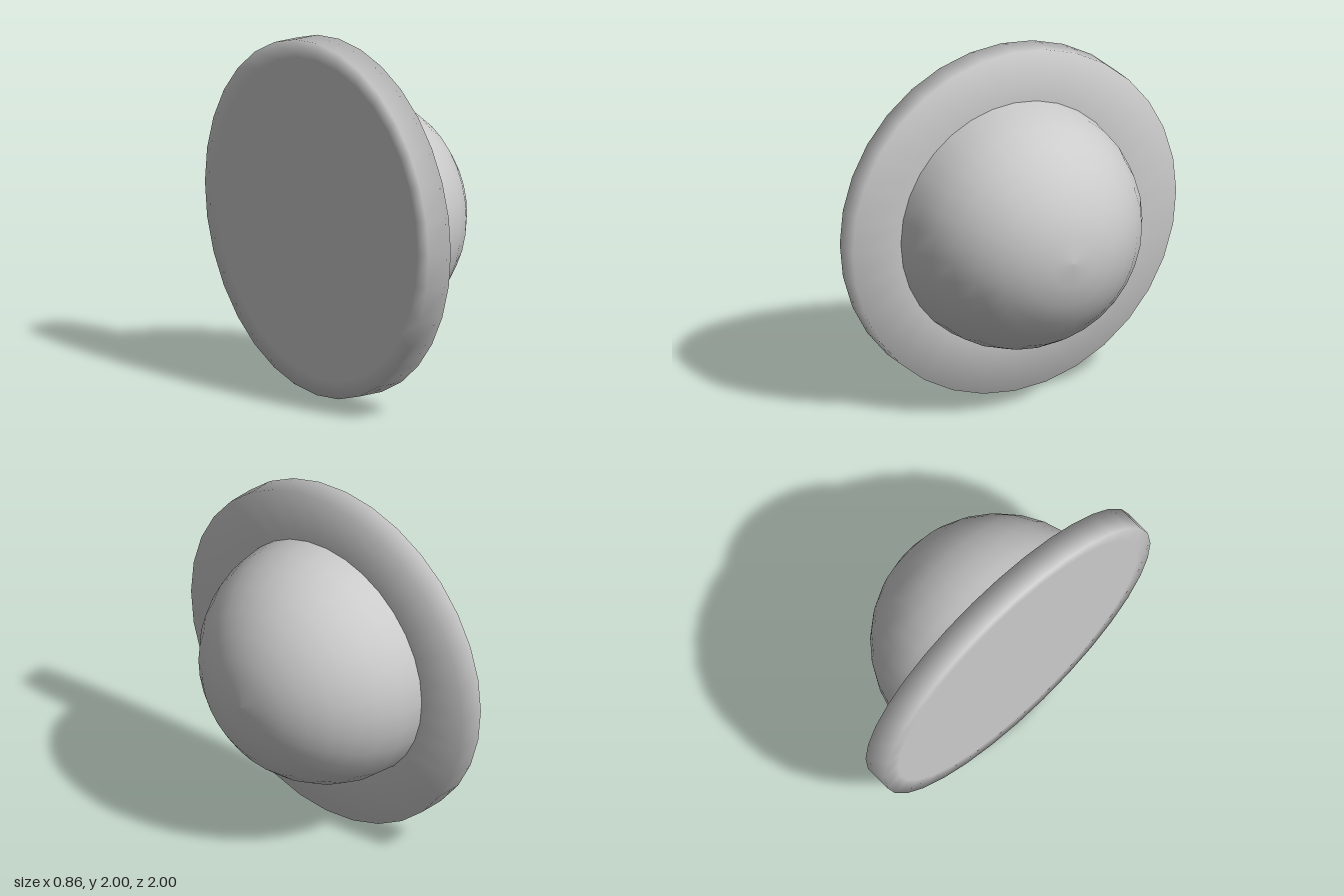
import * as THREE from 'three';

const SEGMENTS = 32;
const BACK = -0.43, FACE = -0.275; // flange extent along x
const DOME_RADIUS = 0.703;

// Revolve [radius, x] pairs around the x axis
function revolve(name, profile, material) {
  const points = profile.map(([r, x]) => new THREE.Vector2(r, x));
  const geometry = new THREE.LatheGeometry(points, SEGMENTS);
  geometry.rotateZ(-Math.PI / 2);
  const mesh = new THREE.Mesh(geometry, material);
  mesh.name = name;
  mesh.position.y = 1;
  return mesh;
}

export function createModel() {
  const group = new THREE.Group();
  group.name = 'domedDisc';
  const grey = new THREE.MeshStandardMaterial({ color: 0xcccccc });

  // Flat round flange, softly shaded over its rim
  group.add(revolve('flange', [
    [0, BACK], [0.9, BACK], [1, BACK], [1, FACE], [DOME_RADIUS - 0.02, FACE],
  ], grey));

  // Hemispherical dome on the +x face
  const arc = [];
  const steps = SEGMENTS / 4;
  for (let i = 0; i <= steps; i++) {
    const a = (i / steps) * Math.PI / 2;
    arc.push([i === steps ? 0 : DOME_RADIUS * Math.cos(a), FACE + DOME_RADIUS * Math.sin(a)]);
  }
  group.add(revolve('dome', arc, grey));

  return group;
}
